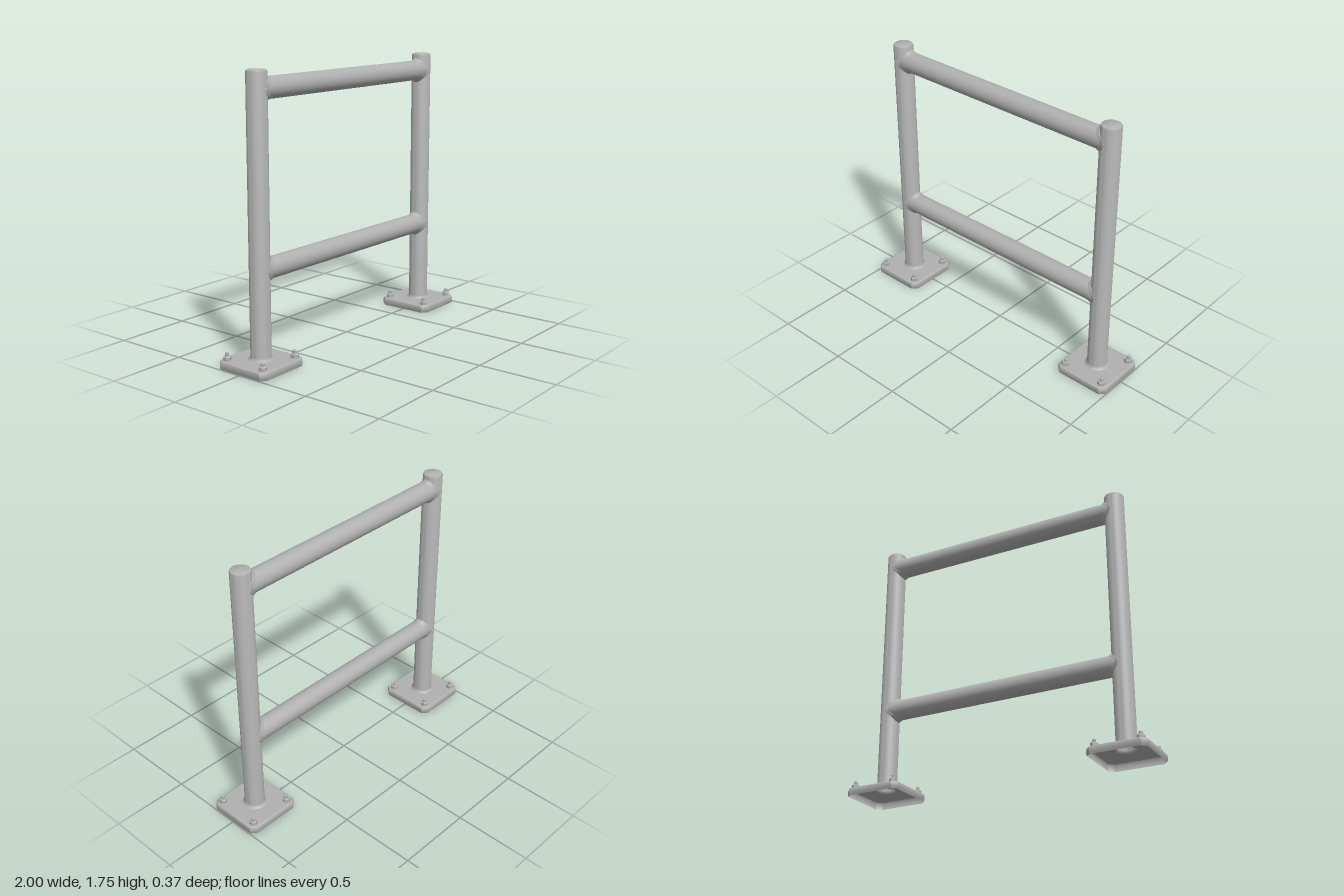
import * as THREE from 'three';
import { toCreasedNormals } from 'three/addons/utils/BufferGeometryUtils.js';

const POST_X = 0.8125, POST_R = 0.0625, RAIL_R = 0.065, PLATE_Y = 0.05;
const RAIL_HEIGHTS = [0.585, 1.635];

// Skin a series of closed loops with equal point counts
function loft(loops, crease) {
  const n = loops[0].length, index = [];
  for (let i = 0; i < loops.length - 1; i++) {
    for (let j = 0; j < n; j++) {
      const a = i * n + j, b = i * n + (j + 1) % n;
      index.push(a, a + n, b, b, a + n, b + n);
    }
  }
  const geo = new THREE.BufferGeometry();
  geo.setAttribute('position', new THREE.Float32BufferAttribute(loops.flat(2), 3));
  geo.setIndex(index);
  geo.computeVertexNormals();
  return toCreasedNormals(geo, crease);
}

function lathe(points, segments = 40) {
  const geo = new THREE.LatheGeometry(points.map(p => new THREE.Vector2(...p)), segments);
  return toCreasedNormals(geo, 0.6);
}

// Square outline with clipped corners
function outline(h, c) {
  const k = h - c;
  return [[h, -k], [h, k], [k, h], [-k, h], [-h, k], [-h, -k], [-k, -h], [k, -h]];
}

// Fillet that follows the saddle where a rail meets a post
function weldGeometry() {
  const rings = [[0.08, 0.0625, 0], [0.073, 0.07, 0.008], [RAIL_R, RAIL_R, 0.024]];
  return loft(rings.map(([ry, rz, dx]) => Array.from({ length: 40 }, (_, j) => {
    const a = j / 40 * Math.PI * 2;
    const z = Math.cos(a) * rz;
    return [Math.sqrt(Math.max(0, POST_R ** 2 - z * z)) + dx, Math.sin(a) * ry, z];
  })), 0.8);
}

export function createModel() {
  const model = new THREE.Group();
  model.name = 'guardRail';
  const steel = new THREE.MeshStandardMaterial({ color: 0xb0b0b0, side: THREE.DoubleSide });
  steel.name = 'grey steel';

  const add = (parent, name, geo, x = 0, y = 0, z = 0) => {
    const mesh = new THREE.Mesh(geo, steel);
    mesh.name = name;
    mesh.position.set(x, y, z);
    parent.add(mesh);
    return mesh;
  };

  // Hollow post, flared at its foot and bevelled at its cap
  const postGeo = lathe([
    [0.078, PLATE_Y], [0.07, 0.055], [0.064, 0.064], [POST_R, 0.07],
    [POST_R, 1.732], [0.059, 1.741], [0.052, 1.745], [0, 1.747],
  ]);
  // Open-bottomed base plate
  const skirtGeo = loft(
    [[0.181, 0], [0.185, 0.01], [0.185, 0.036], [0.182, 0.045], [0.175, PLATE_Y]]
      .map(([h, y]) => outline(h, 0.03).map(([x, z]) => [x, y, z])), 0.6);
  const topShape = new THREE.Shape(outline(0.175, 0.03).map(p => new THREE.Vector2(...p)));
  topShape.holes.push(new THREE.Path().absarc(0, 0, POST_R, 0, Math.PI * 2, true));
  const topGeo = new THREE.ShapeGeometry(topShape, 20).rotateX(-Math.PI / 2);

  // Hexagonal nut and threaded stud
  const nutGeo = lathe([[0.025, 0], [0.025, 0.021], [0.021, 0.026], [0, 0.026]], 6);
  const studGeo = lathe([[0.012, 0.02], [0.012, 0.044], [0.009, 0.047], [0, 0.047]], 12);
  const weldGeo = weldGeometry();

  for (const side of [-1, 1]) {
    const upright = new THREE.Group();
    upright.name = side < 0 ? 'rightUpright' : 'leftUpright';
    upright.position.x = side * POST_X;
    upright.rotation.y = side < 0 ? 0 : Math.PI;
    model.add(upright);

    add(upright, 'post', postGeo);
    add(upright, 'basePlateSkirt', skirtGeo);
    add(upright, 'basePlateTop', topGeo, 0, PLATE_Y);
    for (const y of RAIL_HEIGHTS) add(upright, 'railWeld', weldGeo, 0, y);
    for (const x of [-0.14, 0.14]) {
      for (const z of [-0.14, 0.14]) {
        add(upright, 'nut', nutGeo, x, PLATE_Y, z);
        add(upright, 'stud', studGeo, x, PLATE_Y, z);
      }
    }
  }

  // Horizontal rails, ending at the faces of the posts
  const railGeo = new THREE.CylinderGeometry(RAIL_R, RAIL_R, 2 * (POST_X - 0.024), 40, 1, true);
  railGeo.rotateZ(Math.PI / 2);
  RAIL_HEIGHTS.forEach((y, i) => add(model, i ? 'topRail' : 'lowerRail', railGeo, 0, y));

  return model;
}
